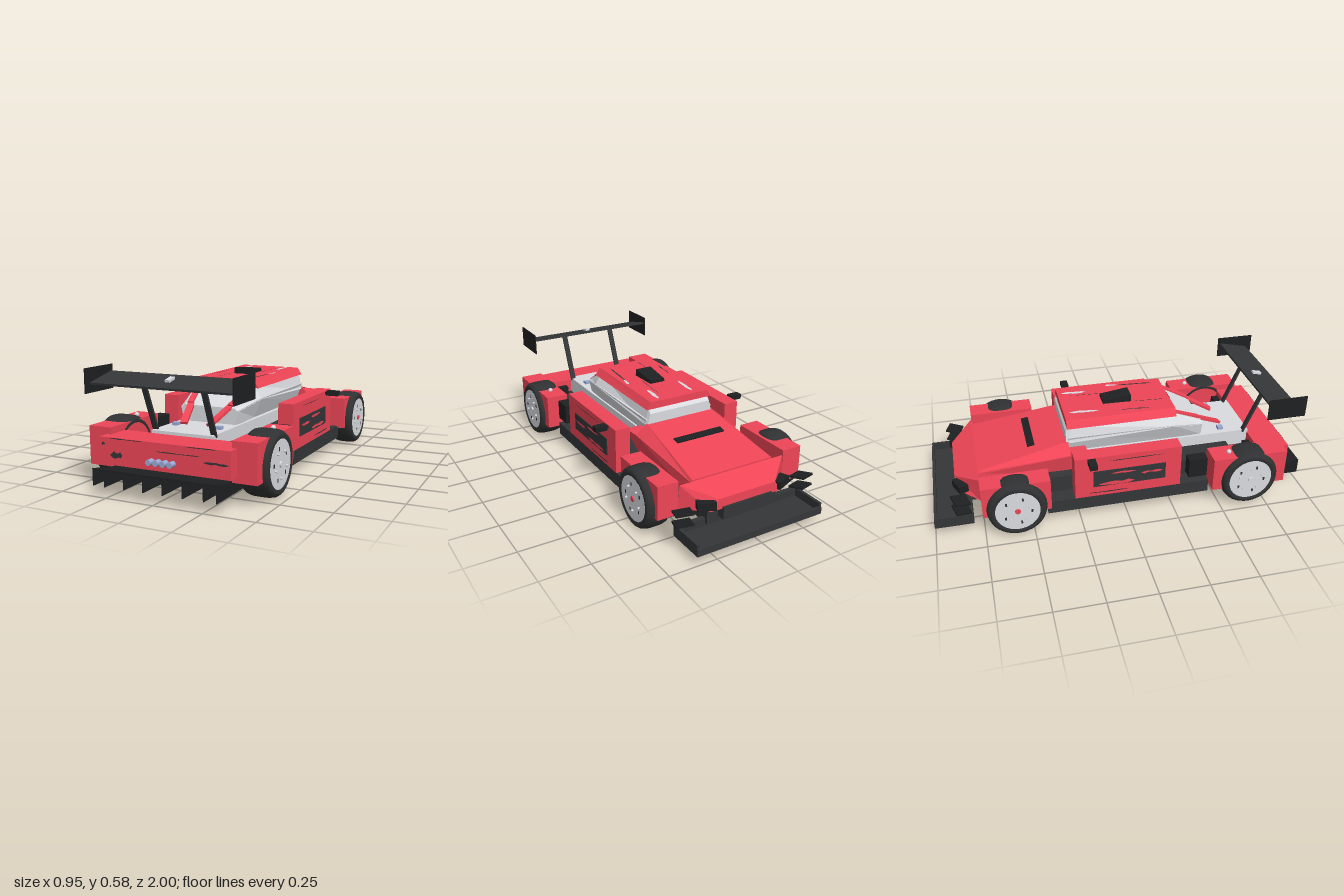
import * as THREE from 'three';
import { toCreasedNormals } from 'three/addons/utils/BufferGeometryUtils.js';

const mat = (color) => new THREE.MeshStandardMaterial({ color, side: THREE.DoubleSide });
const red = mat(0xee4556), dark = mat(0x343638), black = mat(0x1f2022), tyreMat = mat(0x303132);
const silver = mat(0xdadce0), lamp = mat(0x9aaad4);

export function createModel() {
  const car = new THREE.Group();
  car.name = 'raceCar';

  const add = (name, geo, material, parent = car) => {
    const m = new THREE.Mesh(geo, material);
    m.name = name;
    parent.add(m);
    return m;
  };
  // Box given by its limits on each axis
  const box = (name, material, x0, x1, y0, y1, z0, z1) => {
    const m = add(name, new THREE.BoxGeometry(Math.abs(x1 - x0), y1 - y0, z1 - z0), material);
    m.position.set((x0 + x1) / 2, (y0 + y1) / 2, (z0 + z1) / 2);
    return m;
  };
  // Symmetric body lofted through trapezoids [z, yBottom, yTop, halfWidthBottom, halfWidthTop]
  const loft = (name, material, sections) => {
    const pos = [], idx = [], n = sections.length;
    for (const [z, yb, yt, wb, wt] of sections)
      pos.push(-wb, yb, z, wb, yb, z, wt, yt, z, -wt, yt, z);
    for (let i = 0; i < n - 1; i++)
      for (let j = 0; j < 4; j++) {
        const a = i * 4 + j, b = i * 4 + (j + 1) % 4;
        idx.push(a, b, b + 4, a, b + 4, a + 4);
      }
    const e = (n - 1) * 4;
    idx.push(0, 2, 1, 0, 3, 2, e, e + 1, e + 2, e, e + 2, e + 3);
    let g = new THREE.BufferGeometry();
    g.setAttribute('position', new THREE.Float32BufferAttribute(pos, 3));
    g.setIndex(idx);
    g = g.toNonIndexed();
    g.computeVertexNormals();
    return add(name, g, material);
  };
  // Flat bar between two points
  const bar = (name, material, a, b, width, thick) => {
    const p = new THREE.Vector3(...a), q = new THREE.Vector3(...b);
    const m = add(name, new THREE.BoxGeometry(width, thick, p.distanceTo(q)), material);
    m.position.copy(p).lerp(q, 0.5);
    m.lookAt(q);
    return m;
  };
  // Jagged paint chip, drawn in the xy plane
  let seed = 7;
  const rnd = () => (seed = (seed * 16807) % 2147483647) / 2147483647;
  const chip = (length, height) => {
    const s = new THREE.Shape();
    s.moveTo(-length / 2, 0);
    for (let i = 1; i < 6; i++) s.lineTo(-length / 2 + length * i / 6, height * (0.15 + 0.35 * rnd()));
    s.lineTo(length / 2, 0);
    for (let i = 5; i > 0; i--) s.lineTo(-length / 2 + length * i / 6, -height * (0.1 + 0.4 * rnd()));
    return new THREE.ShapeGeometry(s);
  };

  // Floor and chassis
  box('floor', dark, -0.31, 0.31, 0.055, 0.08, -0.67, 0.6);
  box('sideSkirts', dark, -0.375, 0.375, 0.058, 0.13, -0.42, 0.45);
  box('chassisTub', dark, -0.29, 0.29, 0.08, 0.22, -0.55, 0.62);
  box('rearChassis', dark, -0.31, 0.31, 0.13, 0.19, 0.55, 0.76);
  box('frontChassis', dark, -0.31, 0.31, 0.08, 0.15, -0.67, -0.5);
  box('noseChassis', dark, -0.2, 0.2, 0.08, 0.17, -0.84, -0.6);

  // Diffuser with hanging fins
  loft('diffuser', black, [[0.58, 0.055, 0.062, 0.31, 0.31], [1, 0.13, 0.137, 0.32, 0.32]]);
  const finShape = new THREE.Shape([[0.62, 0.057], [1, 0.055], [1, 0.135], [0.7, 0.08]].map(([z, y]) => new THREE.Vector2(-z, y)));
  for (const x of [-0.318, -0.255, -0.152, -0.05, 0.05, 0.152, 0.255, 0.318]) {
    const f = add('diffuserFin', new THREE.ExtrudeGeometry(finShape, { depth: 0.004, bevelEnabled: false }), black);
    f.rotation.y = Math.PI / 2;
    f.position.x = x - 0.002;
  }

  // Tail panel with lamps
  box('tailPanel', red, -0.342, 0.342, 0.135, 0.265, 0.74, 0.91);
  for (let i = 0; i < 4; i++) {
    const l = add('tailLamp', new THREE.CylinderGeometry(0.014, 0.014, 0.04, 16), lamp);
    l.rotation.x = Math.PI / 2;
    l.position.set(-0.056 + i * 0.037, 0.178, 0.925);
  }
  for (const [x, y, l, h] of [[-0.25, 0.185, 0.07, 0.04], [0.27, 0.2, 0.13, 0.015], [0.08, 0.225, 0.24, 0.005],
    [-0.32, 0.235, 0.02, 0.02], [-0.2, 0.262, 0.2, 0.006], [0.2, 0.262, 0.16, 0.006]])
    add('paintChip', chip(l, h), dark).position.set(x, y, 0.912);

  // Nose, hood and front splitter
  loft('nose', red, [[-0.875, 0.165, 0.22, 0.2, 0.16], [-0.755, 0.15, 0.272, 0.31, 0.3]]);
  loft('hood', red, [[-0.755, 0.2, 0.27, 0.24, 0.238], [-0.28, 0.2, 0.318, 0.235, 0.258], [-0.18, 0.265, 0.318, 0.22, 0.268]]);
  loft('hoodCrown', red, [[-0.755, 0.265, 0.28, 0.238, 0.23], [-0.275, 0.315, 0.368, 0.258, 0.195]]);
  box('hoodVent', black, -0.14, 0.14, 0.329, 0.339, -0.485, -0.445).rotation.x = -0.18;
  box('noseGrille', dark, -0.14, 0.14, 0.11, 0.175, -0.885, -0.83);
  box('splitter', dark, -0.357, 0.357, 0.05, 0.065, -1, -0.8);
  box('splitterFrontLip', dark, -0.357, 0.357, 0.05, 0.085, -1, -0.985);
  box('splitterRearLip', dark, -0.357, 0.357, 0.05, 0.105, -0.825, -0.8);

  // Cabin glass, flared at the waist, over a narrow engine deck
  loft('lowerGlass', silver, [[-0.275, 0.29, 0.39, 0.165, 0.2], [0.3, 0.29, 0.39, 0.165, 0.205], [0.475, 0.275, 0.35, 0.145, 0.16]]);
  loft('upperGlass', silver, [[-0.285, 0.36, 0.42, 0.195, 0.18], [-0.265, 0.36, 0.447, 0.2, 0.178],
    [0.3, 0.385, 0.447, 0.205, 0.165], [0.475, 0.345, 0.362, 0.16, 0.14]]);
  box('engineDeck', silver, -0.165, 0.165, 0.18, 0.28, -0.27, 0.745);
  loft('roof', red, [[-0.278, 0.442, 0.48, 0.195, 0.17], [0.312, 0.442, 0.48, 0.195, 0.165]]);
  loft('roofScoop', black, [[-0.055, 0.475, 0.497, 0.045, 0.04], [0.1, 0.475, 0.515, 0.05, 0.045]]);
  box('roofCamera', black, -0.035, 0.035, 0.435, 0.46, 0.3, 0.325);
  for (const [x, z, l, h, m] of [[-0.1, -0.17, 0.16, 0.025, silver], [0.11, -0.19, 0.14, 0.03, silver], [-0.13, 0.1, 0.16, 0.01, dark],
    [0.13, 0.16, 0.2, 0.012, dark], [0.07, -0.1, 0.24, 0.006, dark], [-0.06, 0.2, 0.16, 0.006, dark], [0.145, 0.03, 0.07, 0.02, silver]]) {
    const c = add('paintChip', chip(l, h), m);
    c.rotation.set(-Math.PI / 2, 0, 1.5);
    c.position.set(x, 0.482, z);
  }

  // Rear wing
  box('wingPlane', dark, -0.375, 0.375, 0.525, 0.535, 0.755, 0.925).rotation.x = 0.22;
  box('wingLight', silver, -0.012, 0.012, 0.53, 0.548, 0.81, 0.86).rotation.x = 0.22;

  // Wheel parts: rounded tyre and a disc rim, built along y
  const profile = [[0.112, -0.9], [0.13, -1], [0.143, -0.94], [0.152, -0.78], [0.157, -0.5], [0.158, 0]];
  const mirrored = profile.slice(0, -1).reverse().map(([r, h]) => [r, -h]);
  const tyreGeo = new THREE.LatheGeometry([...profile, ...mirrored].map(([r, h]) => new THREE.Vector2(r, h * 0.076)), 40);
  const rimGeo = toCreasedNormals(new THREE.CylinderGeometry(0.117, 0.117, 0.142, 40), 0.5);

  for (const s of [-1, 1]) {
    // Wheels
    for (const [name, x, y, z, radius, width, hub] of [['rearWheel', 0.391, 0.162, 0.653, 1, 1, silver],
      ['frontWheel', 0.384, 0.158, -0.581, 0.975, 0.88, red]]) {
      const w = new THREE.Group();
      w.name = name;
      w.position.set(s * x, y, z);
      w.rotation.z = -s * Math.PI / 2;
      w.scale.set(radius, width, radius);
      add('tyre', tyreGeo, tyreMat, w);
      add('rim', rimGeo, silver, w);
      add('hub', new THREE.CylinderGeometry(0.014, 0.016, 0.012, 12), hub, w).position.y = 0.072;
      for (let i = 0; i < 5; i++) {
        const a = i * Math.PI * 0.4;
        add('wheelBolt', new THREE.CylinderGeometry(0.006, 0.006, 0.024, 8), silver, w)
          .position.set(0.065 * Math.cos(a), 0.07, 0.065 * Math.sin(a));
        add('rimSlot', new THREE.BoxGeometry(0.018, 0.004, 0.01), dark, w)
          .position.set(0.075 * Math.cos(a + 0.4), 0.07, 0.075 * Math.sin(a + 0.4));
      }
      car.add(w);
    }
    // Fenders
    box('rearFender', red, s * 0.318, s * 0.441, 0.11, 0.298, 0.45, 0.855);
    box('frontFender', red, s * 0.305, s * 0.415, 0.12, 0.295, -0.755, -0.405);
    add('fenderBolt', new THREE.SphereGeometry(0.013, 12, 8), silver).position.set(s * 0.38, 0.302, 0.55);

    // Side pods with torn vents
    box('sidePod', red, s * 0.293, s * 0.375, 0.13, 0.37, -0.275, 0.29);
    box('sideVent', dark, s * 0.37, s * 0.379, 0.19, 0.285, -0.18, 0.205);
    for (const [y, z, l, h, m] of [[0.245, 0.13, 0.12, 0.02, red], [0.205, -0.06, 0.2, 0.025, red], [0.265, -0.02, 0.14, 0.015, red],
      [0.345, 0.05, 0.3, 0.006, dark], [0.155, -0.1, 0.22, 0.008, dark]]) {
      const c = add('paintChip', chip(l, h), m);
      c.rotation.y = s * Math.PI / 2;
      c.position.set(s * 0.381, y, z);
    }
    box('sideIntake', black, s * 0.32, s * 0.38, 0.168, 0.275, 0.335, 0.435);
    box('mirrorArm', black, s * 0.36, s * 0.39, 0.352, 0.366, -0.2, -0.18);
    box('mirror', black, s * 0.385, s * 0.45, 0.347, 0.374, -0.21, -0.17);

    // Rear window pillars
    bar('upperPillar', red, [s * 0.145, 0.445, 0.3], [s * 0.112, 0.37, 0.465], 0.03, 0.016);
    bar('lowerPillar', red, [s * 0.108, 0.365, 0.465], [s * 0.07, 0.295, 0.605], 0.035, 0.014);

    // Deck fittings
    box('deckLatch', lamp, s * 0.105, s * 0.135, 0.275, 0.295, 0.58, 0.61);
    box('deckBlock', black, s * 0.2, s * 0.3, 0.18, 0.235, 0.7, 0.74);

    // Wing supports and end plates
    bar('wingStrut', dark, [s * 0.157, 0.27, 0.713], [s * 0.157, 0.532, 0.822], 0.029, 0.01);
    box('wingEndPlate', black, s * 0.375, s * 0.38, 0.468, 0.585, 0.747, 0.957);

    // Nose details
    box('splitterEnd', dark, s * 0.342, s * 0.357, 0.05, 0.108, -0.995, -0.8);
    box('headlight', black, s * 0.17, s * 0.26, 0.175, 0.215, -0.875, -0.825).rotation.y = -s * 0.4;
    for (const y of [0.135, 0.19])
      box('canard', black, s * 0.3, s * 0.385, y, y + 0.01, -0.895, -0.815).rotation.set(0.2, -s * 0.3, 0);
  }
  return car;
}
